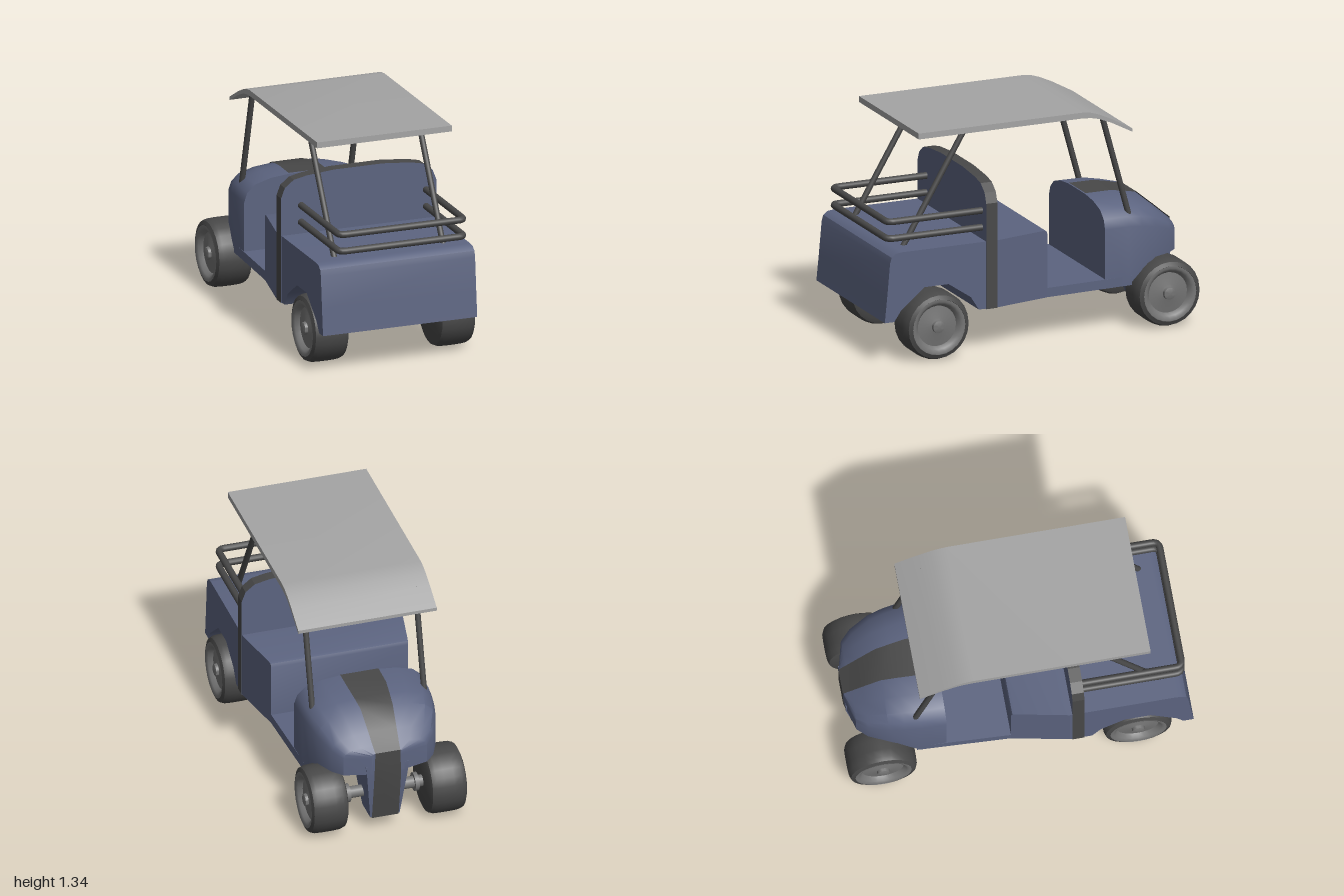
import * as THREE from 'three';
import { toCreasedNormals } from 'three/addons/utils/BufferGeometryUtils.js';

const mat = (color, side = THREE.FrontSide) => new THREE.MeshStandardMaterial({ color, side });
const blue = mat(0x5c6480), dark = mat(0x484848), rimGrey = mat(0x747474), roofGrey = mat(0xa4a4a4);
const stripeDark = mat(0x484848, THREE.DoubleSide);

function add(parent, name, geometry, material) {
  const mesh = new THREE.Mesh(geometry, material);
  mesh.name = name;
  parent.add(mesh);
  return mesh;
}

// Side profile of [z, y] points, extruded across x; halfAt(z, y) gives the half width
function prism(profile, halfAt) {
  const shape = new THREE.Shape(profile.map(([z, y]) => new THREE.Vector2(z, y)));
  const geo = new THREE.ExtrudeGeometry(shape, { depth: 2, bevelEnabled: false });
  geo.translate(0, 0, -1).rotateY(-Math.PI / 2);
  const p = geo.attributes.position;
  for (let i = 0; i < p.count; i++) p.setX(i, p.getX(i) * halfAt(p.getZ(i), p.getY(i)));
  return toCreasedNormals(geo, 0.6);
}

// Skin over closed convex sections that run from +z to -z, capped at both ends
function loft(sections) {
  const n = sections[0].length, index = [];
  for (let s = 0; s < sections.length - 1; s++) {
    for (let i = 0; i < n; i++) {
      const a = s * n + i, b = s * n + (i + 1) % n;
      index.push(a, a + n, b, b, a + n, b + n);
    }
  }
  const last = (sections.length - 1) * n;
  for (let i = 1; i < n - 1; i++) index.push(0, i, i + 1, last, last + i + 1, last + i);
  const geo = new THREE.BufferGeometry();
  geo.setAttribute('position', new THREE.Float32BufferAttribute(sections.flat(2), 3));
  geo.setIndex(index);
  return toCreasedNormals(geo, 0.55);
}

// Straight round bar between two points
function bar(parent, name, from, to, radius, material) {
  const a = new THREE.Vector3(...from), b = new THREE.Vector3(...to);
  const mesh = add(parent, name, new THREE.CylinderGeometry(radius, radius, a.distanceTo(b), 16), material);
  mesh.position.copy(a).add(b).multiplyScalar(0.5);
  mesh.quaternion.setFromUnitVectors(new THREE.Vector3(0, 1, 0), b.sub(a).normalize());
}

function lathe(points) {
  const geo = new THREE.LatheGeometry(points.map(([r, h]) => new THREE.Vector2(r, h)), 24);
  return toCreasedNormals(geo, 0.7);
}

// Wheel whose outer face points along +x, or -x when side is -1
function wheel(parent, name, x, z, side) {
  const group = new THREE.Group();
  group.name = name;
  add(group, 'tyre', lathe([[0, -0.11], [0.165, -0.11], [0.188, -0.1], [0.198, -0.075], [0.2, -0.03],
    [0.2, 0.03], [0.198, 0.075], [0.188, 0.1], [0.165, 0.11], [0.155, 0.095]]), dark);
  add(group, 'rim', lathe([[0.165, 0.108], [0.15, 0.108], [0.135, 0.1], [0.12, 0.075], [0.05, 0.085],
    [0.037, 0.088], [0.035, 0.105], [0.02, 0.11], [0, 0.11]]), rimGrey);
  group.rotation.z = -side * Math.PI / 2;
  group.position.set(x, 0.2, z);
  parent.add(group);
}

export function createModel() {
  const model = new THREE.Group();
  model.name = 'utilityCart';
  const cart = new THREE.Group();
  cart.name = 'cart';
  cart.position.x = -0.025;
  model.add(cart);

  // Rear body with wheel arches
  add(cart, 'rearBody', prism([[1, 0.25], [0.985, 0.4], [0.967, 0.6], [0.957, 0.635], [0.93, 0.655], [0.89, 0.66],
    [0.28, 0.66], [0.28, 0.26], [0.41, 0.26], [0.46, 0.34], [0.6, 0.435], [0.75, 0.435], [0.9, 0.31], [0.94, 0.25]],
    () => 0.475), blue);

  // Seat base, narrowing towards the front
  add(cart, 'seatBase', prism([[0.28, 0.26], [0.28, 0.66], [-0.025, 0.66], [-0.042, 0.655], [-0.05, 0.635],
    [-0.05, 0.26]], z => 0.41 + 0.065 * (z + 0.05) / 0.33), blue);

  // Floor
  add(cart, 'floor', prism([[-0.05, 0.26], [-0.05, 0.315], [-0.59, 0.315], [-0.59, 0.26]],
    z => 0.385 + 0.025 * (z + 0.59) / 0.54), blue);

  // Hood: z, half width, shoulder, top, bottom
  const stations = [
    [-0.42, 0.39, 0.61, 0.75, 0.26], [-0.57, 0.387, 0.61, 0.75, 0.26], [-0.66, 0.375, 0.6, 0.734, 0.34],
    [-0.75, 0.355, 0.58, 0.713, 0.4], [-0.86, 0.305, 0.54, 0.622, 0.4], [-0.92, 0.25, 0.515, 0.57, 0.4],
    [-0.96, 0.095, 0.505, 0.535, 0.4]];
  const stripeHalf = z => 0.075 + 0.04 * (z + 0.96) / 0.4;
  add(cart, 'hood', loft(stations.map(([z, w, s, t, b]) => {
    const c = Math.min(stripeHalf(z), 0.115);
    const half = [[1, b], [1, s], [0.93, s + 0.4 * (t - s)], [0.75, s + 0.72 * (t - s)],
      [0.4, s + 0.92 * (t - s)], [0, t]].map(([f, y]) => [c + (w - c) * f, y, z]);
    return [...half, ...half.map(([x, y]) => [-x, y, z]).reverse()];
  })), blue);

  // Keel below the nose
  add(cart, 'keel', prism([[-0.958, 0.45], [-0.958, 0.38], [-0.91, 0.08], [-0.76, 0.08], [-0.68, 0.3], [-0.66, 0.45]],
    (z, y) => 0.088 + 0.11 * (y - 0.08)), blue);

  // Stripe over the hood and down the keel
  const path = [...stations.map(([z, , , t]) => [z - (z < -0.95 ? 0.006 : 0.002), t + 0.005]),
    [-0.965, 0.38], [-0.916, 0.077], [-0.76, 0.077]];
  const stripe = new THREE.PlaneGeometry(1, 1, 1, path.length - 1);
  path.forEach(([z, y], row) => {
    const h = y < 0.45 ? 0.08 : Math.min(stripeHalf(z), 0.115);
    stripe.attributes.position.setXYZ(row * 2, -h, y, z);
    stripe.attributes.position.setXYZ(row * 2 + 1, h, y, z);
  });
  add(cart, 'hoodStripe', toCreasedNormals(stripe, 0.5), stripeDark);

  // Seat back panel with a dark band around its edge
  const right = [[0.478, 0.257], [0.478, 0.885], [0.455, 0.945], [0.4, 0.988], [0.32, 1.005], [0.15, 1.02]];
  const outline = [...right, ...right.map(([x, y]) => [-x, y]).reverse()];
  const panel = new THREE.ExtrudeGeometry(new THREE.Shape(outline.map(([x, y]) => new THREE.Vector2(x, y))),
    { depth: 0.07, bevelEnabled: false });
  add(cart, 'seatBack', panel.translate(0, 0, 0.295), [blue, dark]);

  // Roof sheet bending down at the front
  add(cart, 'roof', prism([[0.76, 1.335], [-0.27, 1.335], [-0.32, 1.328], [-0.37, 1.312], [-0.45, 1.275],
    [-0.58, 1.203], [-0.58, 1.183], [-0.45, 1.252], [-0.37, 1.285], [-0.32, 1.296], [-0.27, 1.3], [0.76, 1.3]],
    () => 0.415), roofGrey);

  // Roof posts
  for (const x of [-0.335, 0.335]) {
    bar(cart, 'rearPost', [x, 0.64, 0.83], [x, 1.305, 0.435], 0.017, dark);
    bar(cart, 'frontPost', [x, 0.64, -0.6], [x, 1.275, -0.425], 0.017, dark);
  }

  // Cargo rails
  for (const y of [0.73, 0.83]) {
    const curve = new THREE.CurvePath(), v = (x, z) => new THREE.Vector3(x, y, z);
    const [w, end, r] = [0.385, 0.955, 0.04];
    curve.add(new THREE.LineCurve3(v(-w, 0.33), v(-w, end - r)));
    curve.add(new THREE.QuadraticBezierCurve3(v(-w, end - r), v(-w, end), v(r - w, end)));
    curve.add(new THREE.LineCurve3(v(r - w, end), v(w - r, end)));
    curve.add(new THREE.QuadraticBezierCurve3(v(w - r, end), v(w, end), v(w, end - r)));
    curve.add(new THREE.LineCurve3(v(w, end - r), v(w, 0.33)));
    add(cart, 'cargoRail', new THREE.TubeGeometry(curve, 120, 0.02, 12), dark).position.x = 0.03;
  }

  // Wheels and axles
  for (const [label, z, left, rightX] of [['rear', 0.68, 0.415, -0.365], ['front', -0.8, 0.345, -0.365]]) {
    wheel(cart, label + 'LeftWheel', left, z, 1);
    wheel(cart, label + 'RightWheel', rightX, z, -1);
    bar(cart, label + 'Axle', [rightX, 0.2, z], [left, 0.2, z], 0.035, rimGrey);
    for (const x of [left - 0.15, rightX + 0.15]) {
      bar(cart, label + 'Flange', [x - 0.012, 0.2, z], [x + 0.012, 0.2, z], 0.055, rimGrey);
    }
  }
  bar(cart, 'axleHousing', [-0.125, 0.21, 0.68], [0.125, 0.21, 0.68], 0.065, rimGrey);

  return model;
}
